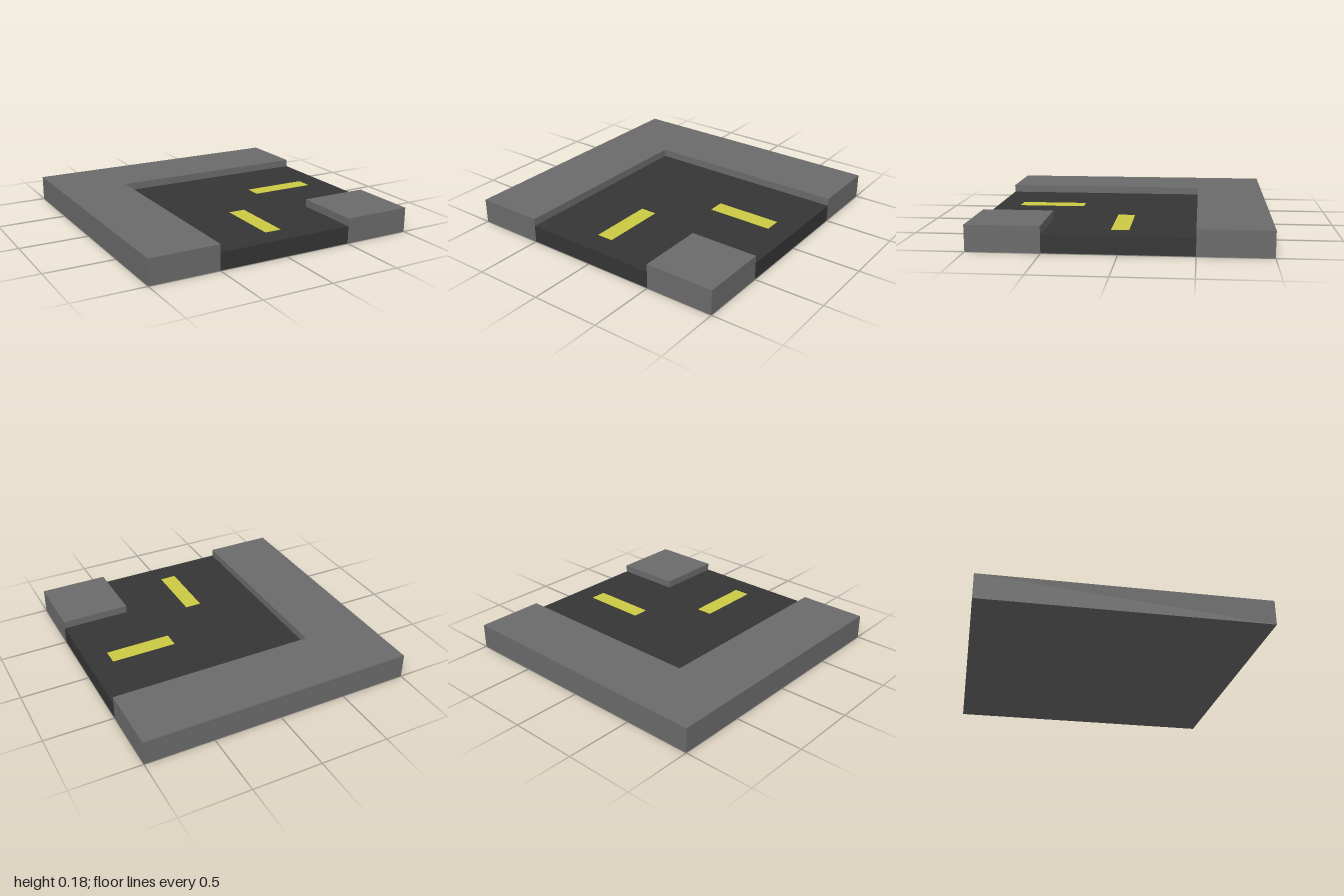
import * as THREE from 'three';

const BASE = 0.002, ROAD_TOP = 0.125, KERB_TOP = 0.18;

export function createModel() {
  const paving = new THREE.MeshStandardMaterial({ name: 'grey paving', color: 0x6b6b6b });
  const asphalt = new THREE.MeshStandardMaterial({ name: 'dark asphalt', color: 0x353535 });
  const paint = new THREE.MeshStandardMaterial({ name: 'yellow paint', color: 0xcbca43 });
  const model = new THREE.Group();
  model.name = 'roadCorner';

  // Extrude an outline given as [x, z] points from y0 up to y1
  function slab(name, outline, y0, y1, material) {
    const shape = new THREE.Shape(outline.map(([x, z]) => new THREE.Vector2(x, -z)));
    const geometry = new THREE.ExtrudeGeometry(shape, { depth: y1 - y0, bevelEnabled: false });
    geometry.rotateX(-Math.PI / 2).translate(0, y0, 0);
    const mesh = new THREE.Mesh(geometry, material);
    mesh.name = name;
    model.add(mesh);
  }
  const rect = (x0, x1, z0, z1) => [[x0, z1], [x1, z1], [x1, z0], [x0, z0]];

  // Thin underside of the whole tile
  slab('underside', rect(-1, 1, -1, 1), 0, BASE, paving);

  // Pavements around the outside and inside of the bend
  slab('outerPavement',
    [[-1, 1], [-0.5, 1], [-0.5, -0.5], [1, -0.5], [1, -1], [-1, -1]], BASE, KERB_TOP, paving);
  slab('innerPavement', rect(0.5, 1, 0.5, 1), BASE, KERB_TOP, paving);

  // Road bend, running out to the front and to the left
  slab('road',
    [[-0.5, 1], [0.5, 1], [0.5, 0.5], [1, 0.5], [1, -0.5], [-0.5, -0.5]], BASE, ROAD_TOP, asphalt);

  // Centre line dashes
  slab('leftDash', rect(0.35, 0.83, -0.06, 0.06), ROAD_TOP, ROAD_TOP + 0.002, paint);
  slab('frontDash', rect(-0.06, 0.06, 0.35, 0.83), ROAD_TOP, ROAD_TOP + 0.002, paint);

  return model;
}
